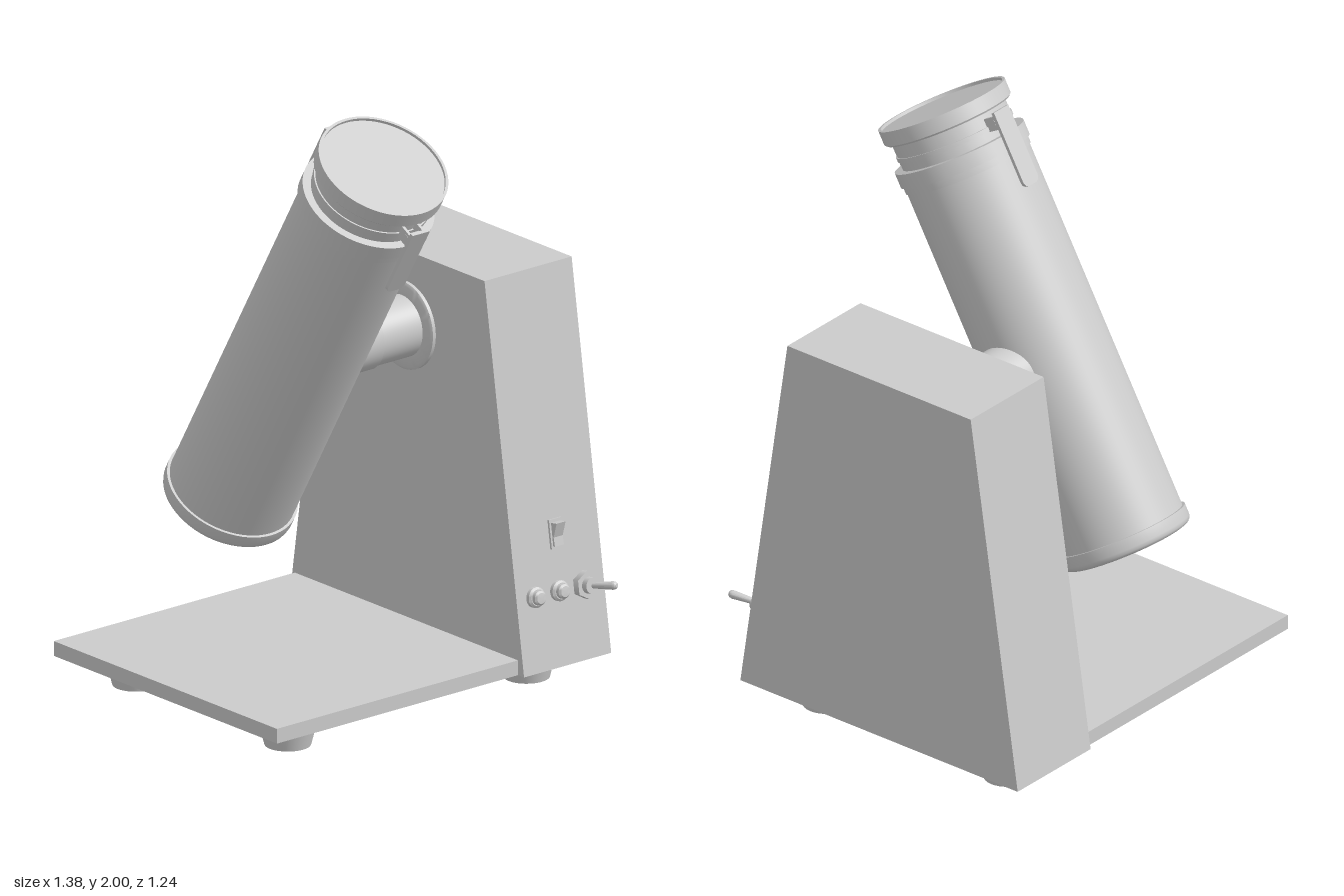
import * as THREE from 'three';
import { toCreasedNormals } from 'three/addons/utils/BufferGeometryUtils.js';

const grey = new THREE.MeshStandardMaterial({ color: 0xcccccc });

function add(parent, name, geometry, x = 0, y = 0, z = 0) {
  const mesh = new THREE.Mesh(geometry, grey);
  mesh.name = name;
  mesh.position.set(x, y, z);
  parent.add(mesh);
  return mesh;
}

function group(parent, name, x, y, z) {
  const g = new THREE.Group();
  g.name = name;
  g.position.set(x, y, z);
  parent.add(g);
  return g;
}

// Turned part from [radius, height] pairs, bottom to top, with sharp corners kept
function turned(points, sides = 64) {
  const profile = points.map(([r, y]) => new THREE.Vector2(r, y));
  return toCreasedNormals(new THREE.LatheGeometry(profile, sides), 0.6);
}

// Extruded outline of [x, y] pairs, centred on its depth
function slab(points, depth) {
  const shape = new THREE.Shape(points.map(([x, y]) => new THREE.Vector2(x, y)));
  return new THREE.ExtrudeGeometry(shape, { depth, bevelEnabled: false }).translate(0, 0, -depth / 2);
}

// Latch lever outline: square top, rounded lower end
function leverGeometry(w, top, bottom, depth) {
  const r = 0.024, s = new THREE.Shape();
  s.moveTo(w, top);
  s.lineTo(-w, top);
  s.lineTo(-w, bottom + r);
  s.quadraticCurveTo(-w, bottom, -w + r, bottom);
  s.lineTo(w - r, bottom);
  s.quadraticCurveTo(w, bottom, w, bottom + r);
  return new THREE.ExtrudeGeometry(s, { depth, bevelEnabled: false });
}

function buildVessel(root) {
  const vessel = group(root, 'tiltedVessel', -0.145, 0.55, -0.389);
  vessel.rotation.x = Math.PI / 6;

  add(vessel, 'bottomCap', turned([
    [0, 0], [0.2, 0], [0.211, 0.004], [0.218, 0.011], [0.221, 0.022], [0.221, 0.058], [0.212, 0.058],
  ]));
  add(vessel, 'vesselBody', turned([[0.212, 0.05], [0.212, 1.36]]));
  add(vessel, 'collar', turned([
    [0.211, 1.325], [0.216, 1.325], [0.216, 1.35], [0.223, 1.35], [0.223, 1.4], [0.19, 1.4],
  ]));
  add(vessel, 'neck', turned([
    [0.195, 1.39], [0.195, 1.43], [0.2, 1.43], [0.2, 1.445], [0.195, 1.445], [0.195, 1.5],
  ]));
  // Lid with a thin raised rim
  add(vessel, 'lid', turned([
    [0.18, 1.492], [0.213, 1.492], [0.219, 1.498], [0.219, 1.547], [0.21, 1.547], [0.21, 1.537], [0, 1.537],
  ]));

  // Two latches, front and back
  for (const turn of [0, Math.PI]) {
    const latch = group(vessel, 'latch', 0, 0, 0);
    latch.rotation.y = turn;
    add(latch, 'lever', leverGeometry(0.036, 1.485, 1.222, 0.012), 0, 0, 0.238);
    for (const side of [-1, 1]) {
      add(latch, 'latchLug', new THREE.BoxGeometry(0.01, 0.045, 0.06), side * 0.029, 1.45, 0.214);
    }
    add(latch, 'latchPin', new THREE.CylinderGeometry(0.011, 0.011, 0.07, 16).rotateZ(Math.PI / 2), 0, 1.452, 0.226);
  }
}

function buildControls(root) {
  // Local frame: xy lies in the sloping front face, z points out of it
  const tilt = Math.atan(0.195 / 1.29);
  const onPanel = (name, x, y) => {
    const g = group(root, name, x, y, 0.53 - (y - 0.09) * Math.tan(tilt));
    g.rotation.x = -tilt;
    return g;
  };
  const facing = (points, sides) => turned(points, sides).rotateX(Math.PI / 2);

  // Rocker switch with a dished paddle
  const rocker = onPanel('rockerSwitch', 0.505, 0.52);
  add(rocker, 'switchBezel', new THREE.BoxGeometry(0.052, 0.096, 0.016));
  add(rocker, 'paddle', slab([
    [0, -0.04], [0.016, -0.04], [0.014, -0.01], [0.036, 0.038], [0, 0.038],
  ], 0.038).rotateY(-Math.PI / 2));

  for (const x of [0.395, 0.495]) {
    const button = onPanel('pushButton', x, 0.335);
    add(button, 'buttonNut', facing([[0.034, -0.005], [0.034, 0.012], [0.027, 0.018], [0, 0.018]], 24));
    add(button, 'buttonCap', facing([[0.024, 0.01], [0.024, 0.03], [0.018, 0.036], [0, 0.038]], 24));
  }

  // Toggle switch with hexagonal nut and slanted bat lever
  const toggle = onPanel('toggleSwitch', 0.6, 0.332);
  add(toggle, 'hexNut', new THREE.CylinderGeometry(0.047, 0.047, 0.03, 6).rotateX(Math.PI / 2), 0, 0, 0.01);
  add(toggle, 'bushing', new THREE.CylinderGeometry(0.027, 0.027, 0.03, 24).rotateX(Math.PI / 2), 0, 0, 0.032);
  const bat = group(toggle, 'batLever', 0, 0, 0.035);
  bat.quaternion.setFromUnitVectors(new THREE.Vector3(0, 1, 0), new THREE.Vector3(0.34, 0.03, 0.94).normalize());
  add(bat, 'lever', turned([
    [0.009, 0], [0.014, 0.085], [0.012, 0.094], [0.007, 0.099], [0, 0.1],
  ], 20));
}

export function createModel() {
  const root = new THREE.Group();
  root.name = 'tiltingVesselMachine';

  add(root, 'basePlate', new THREE.BoxGeometry(1.01, 0.05, 1.1), -0.185, 0.115, -0.05);

  // Tapered side housing, profile drawn in z and y
  add(root, 'housing', slab([
    [-0.53, 0.09], [0.62, 0.09], [0.425, 1.38], [-0.335, 1.38],
  ], 0.365).rotateY(Math.PI / 2), 0.5025);

  for (const x of [-0.5, 0.5]) {
    for (const z of [0.33, -0.42]) {
      add(root, 'foot', new THREE.CylinderGeometry(0.098, 0.075, 0.09, 32), x, 0.045, z);
    }
  }

  // Horizontal support arm: wide saddle, shaft and wall flange
  const arm = group(root, 'supportArm', 0, 1.13, -0.052);
  arm.rotation.z = -Math.PI / 2;
  add(arm, 'armSaddle', turned([[0.109, 0], [0.109, 0.138], [0.1, 0.138]]));
  add(arm, 'armShaft', turned([[0.103, 0.13], [0.103, 0.31]]));
  add(arm, 'armFlange', turned([
    [0.1, 0.302], [0.138, 0.302], [0.147, 0.308], [0.147, 0.322],
  ]));

  buildVessel(root);
  buildControls(root);
  return root;
}
